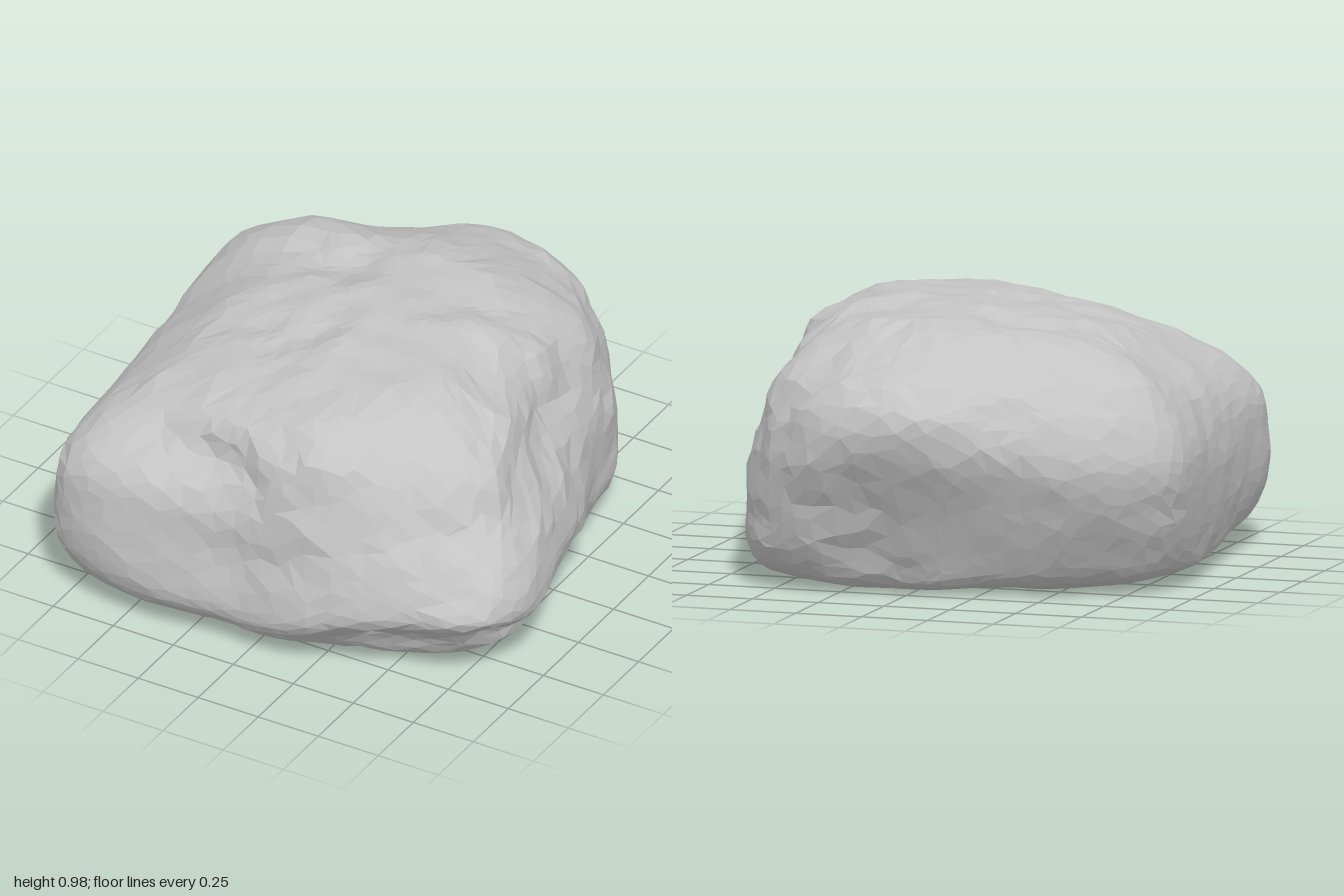
import * as THREE from 'three';
import { mergeVertices } from 'three/addons/utils/BufferGeometryUtils.js';

// Widest outline seen from above, [x, z], going from +x through +z
const OUTLINE = [
  [0.84, 0], [0.94, 0.35], [0.96, 0.55], [0.9, 0.7], [0.78, 0.79], [0.45, 0.89], [0.25, 0.94],
  [-0.1, 0.94], [-0.48, 0.98], [-0.72, 0.94], [-0.83, 0.85], [-0.88, 0.45], [-0.92, 0], [-0.96, -0.3],
  [-0.95, -0.5], [-0.85, -0.64], [-0.65, -0.77], [-0.4, -0.84], [-0.13, -0.98], [0.05, -1],
  [0.3, -0.96], [0.45, -0.87], [0.64, -0.65], [0.72, -0.35],
];

// Side profiles every 45 degrees from +x, [share of the outline radius, height]
const PROFILES = [
  [[0.78, 0.015], [0.88, 0.05], [0.94, 0.14], [1.0, 0.25], [0.95, 0.47], [0.81, 0.7], [0.71, 0.87], [0.47, 0.96]],
  [[0.72, 0.015], [0.8, 0.05], [0.87, 0.18], [1.0, 0.29], [0.98, 0.41], [0.88, 0.58], [0.74, 0.79], [0.47, 0.95]],
  [[0.74, 0.015], [0.88, 0.05], [0.97, 0.11], [1.0, 0.19], [0.97, 0.38], [0.94, 0.62], [0.85, 0.8], [0.55, 0.93]],
  [[0.72, 0.015], [0.87, 0.06], [0.95, 0.12], [1.0, 0.25], [1.0, 0.43], [0.96, 0.59], [0.8, 0.73], [0.5, 0.87]],
  [[0.7, 0.015], [0.92, 0.05], [0.97, 0.1], [1.0, 0.28], [1.0, 0.43], [0.97, 0.56], [0.86, 0.71], [0.52, 0.89]],
  [[0.7, 0.015], [0.8, 0.05], [0.88, 0.16], [0.96, 0.32], [1.0, 0.49], [0.95, 0.66], [0.81, 0.81], [0.5, 0.93]],
  [[0.68, 0.015], [0.75, 0.05], [0.81, 0.18], [0.91, 0.4], [1.0, 0.6], [0.93, 0.77], [0.72, 0.87], [0.4, 0.95]],
  [[0.76, 0.015], [0.92, 0.05], [1.0, 0.14], [1.0, 0.26], [0.98, 0.45], [0.92, 0.63], [0.8, 0.78], [0.5, 0.93]],
];

// Dents and bulges: centre, radius of influence, push along x, y, z
const FEATURES = [
  { at: [-0.28, 0.71, 0.85], size: [0.28, 0.08, 0.2], push: [0, 0, -0.1] },      // front hollow
  { at: [0.3, 0.82, 0.72], size: [0.24, 0.18, 0.22], push: [0, 0.04, 0.04] },    // front shoulder
  { at: [-0.4, 0.92, -0.25], size: [0.26, 0.2, 0.13], push: [0, -0.04, 0] },     // top hollow
  { at: [-0.55, 0.88, -0.45], size: [0.25, 0.2, 0.15], push: [0, 0.03, 0] },     // back left hump
  { at: [0.55, 0.85, 0.1], size: [0.12, 0.25, 0.2], push: [-0.05, -0.03, 0] },   // side gully
  { at: [0.86, 0.16, 0.2], size: [0.2, 0.06, 0.4], push: [-0.04, 0, 0] },        // undercut
];

const hash = (x, y, z) => {
  const s = Math.sin(x * 127.1 + y * 311.7 + z * 74.7) * 43758.5453;
  return s - Math.floor(s);
};

// Smooth value noise in -1..1
function noise(x, y, z) {
  const c = [x, y, z].map(Math.floor);
  const [u, v, w] = [x, y, z].map((n, i) => THREE.MathUtils.smoothstep(n - c[i], 0, 1));
  let sum = 0;
  for (let i = 0; i < 8; i++) {
    const [a, b, d] = [i & 1, (i >> 1) & 1, i >> 2];
    sum += hash(c[0] + a, c[1] + b, c[2] + d) * (a ? u : 1 - u) * (b ? v : 1 - v) * (d ? w : 1 - w);
  }
  return sum * 2 - 1;
}

// Point on the blended profile at share t (0 bottom rim, 1 top centre)
function profileAt(curves, angle, t) {
  const f = (angle / (Math.PI / 4) + 8) % 8;
  const i = Math.floor(f);
  const k = THREE.MathUtils.smoothstep(f - i, 0, 1);
  return curves[i % 8].getPoint(t).lerp(curves[(i + 1) % 8].getPoint(t), k);
}

// A faceted ball whose points are moved onto the outline and profiles
function rockGeometry(detail) {
  const outline = new THREE.CatmullRomCurve3(OUTLINE.map(([x, z]) => new THREE.Vector3(x, 0, z)), true);
  const curves = PROFILES.map((p) =>
    new THREE.SplineCurve([...p, [0, 0.965]].map(([s, y]) => new THREE.Vector2(s, y))));

  const ball = new THREE.IcosahedronGeometry(1, detail);
  ball.deleteAttribute('uv');
  ball.deleteAttribute('normal');
  const geometry = mergeVertices(ball, 1e-4);
  const position = geometry.attributes.position;
  const v = new THREE.Vector3();

  for (let i = 0; i < position.count; i++) {
    // Jitter keeps the facets uneven
    v.fromBufferAttribute(position, i);
    v.set(...v.toArray().map((n, k) => n + (hash(i, k, 1) - 0.5) * 0.045)).normalize();

    // Top cap takes the first quarter, sides the middle, underside the last
    const u = Math.acos(v.y) / Math.PI;
    const t = u < 0.25 ? 1 - u / 2 : Math.max(0, (0.75 - u) * 1.75);
    const shrink = Math.min(1, (1 - u) / 0.25);
    const o = outline.getPointAt((Math.atan2(v.z, v.x) / (2 * Math.PI) + 1) % 1);
    const p = profileAt(curves, Math.atan2(o.z, o.x), t);
    v.set(o.x * p.x * shrink, p.y * shrink, o.z * p.x * shrink);

    for (const { at, size, push } of FEATURES) {
      const d = ((v.x - at[0]) / size[0]) ** 2 + ((v.y - at[1]) / size[1]) ** 2 + ((v.z - at[2]) / size[2]) ** 2;
      v.addScaledVector(new THREE.Vector3(...push), Math.exp(-d));
    }

    // Chipped surface, rougher on top and on the +x side, none underneath
    if (t > 0) {
      const rough = THREE.MathUtils.clamp(0.3 + 0.5 * v.y + 0.35 * v.x, 0.25, 1);
      const n = 0.012 * noise(v.x * 4, v.y * 6, v.z * 4) + 0.022 * noise(v.x * 9 + 7, v.y * 12, v.z * 9);
      const away = new THREE.Vector3(v.x, (v.y - 0.4) * 1.8, v.z).normalize();
      v.addScaledVector(away, n * rough);
    }
    position.setXYZ(i, v.x, THREE.MathUtils.clamp(v.y, 0, 0.985), v.z);
  }
  geometry.computeVertexNormals();
  return geometry;
}

export function createModel() {
  const stone = new THREE.MeshStandardMaterial({ color: 0xc4c4c4, flatShading: true });
  stone.name = 'stone grey';

  const boulder = new THREE.Mesh(rockGeometry(15), stone);
  boulder.name = 'boulder';

  const group = new THREE.Group();
  group.name = 'rock';
  group.add(boulder);
  return group;
}
